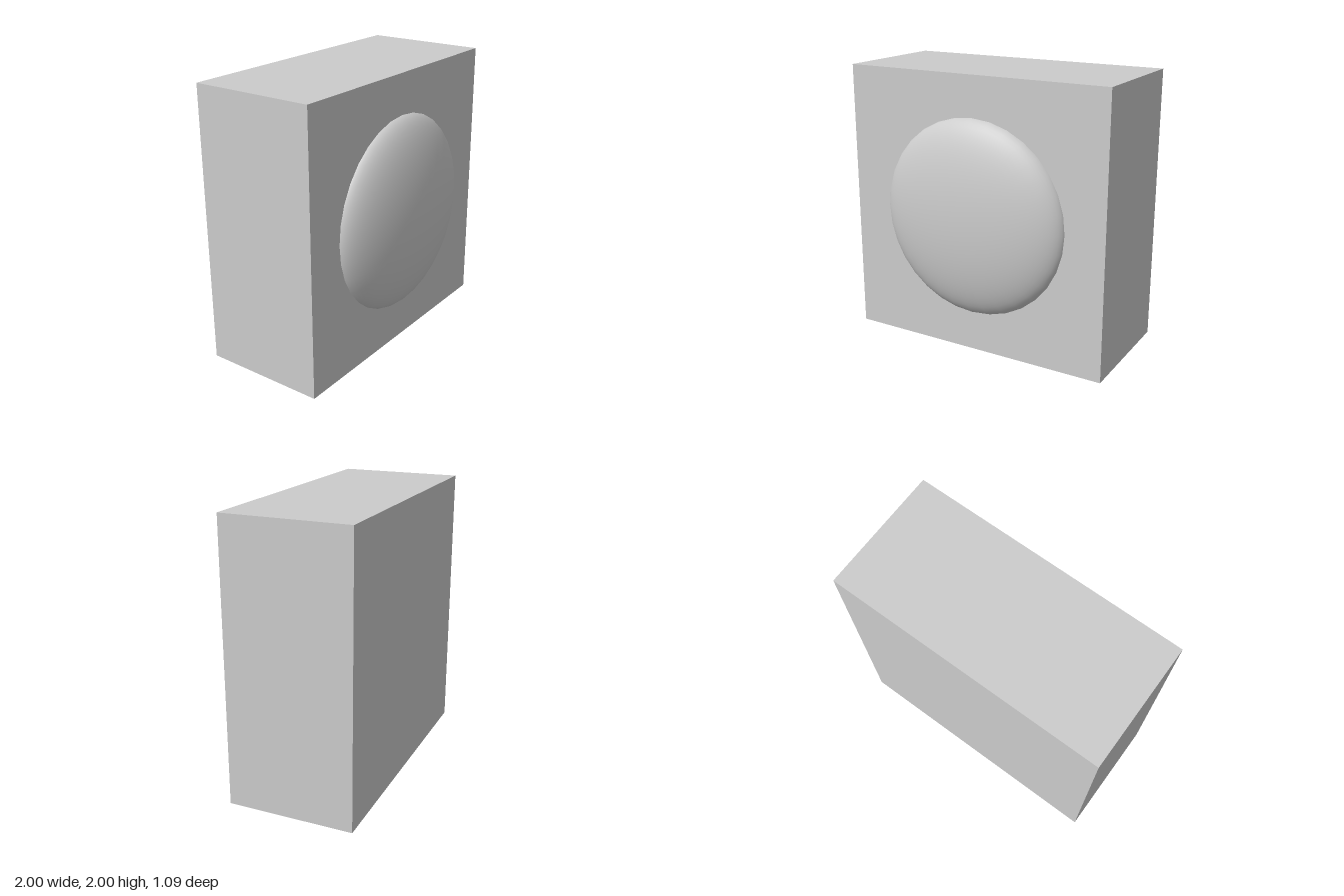
import * as THREE from 'three';

export function createModel() {
  const model = new THREE.Group();
  const material = new THREE.MeshStandardMaterial({ color: 0xcccccc });

  // Square block
  const block = new THREE.Mesh(new THREE.BoxGeometry(2, 2, 0.9), material);
  block.name = 'block';
  block.position.set(0, 1, -0.093);
  model.add(block);

  // Flattened dome on the front face, its rim sunk slightly into the block
  const domeGeometry = new THREE.SphereGeometry(1, 32, 16, 0, Math.PI * 2, 0, Math.PI / 2);
  domeGeometry.rotateX(Math.PI / 2);
  domeGeometry.scale(0.713, 0.713, 0.208);
  const dome = new THREE.Mesh(domeGeometry, material);
  dome.name = 'frontDome';
  dome.position.set(0, 1, 0.335);
  model.add(dome);

  return model;
}
